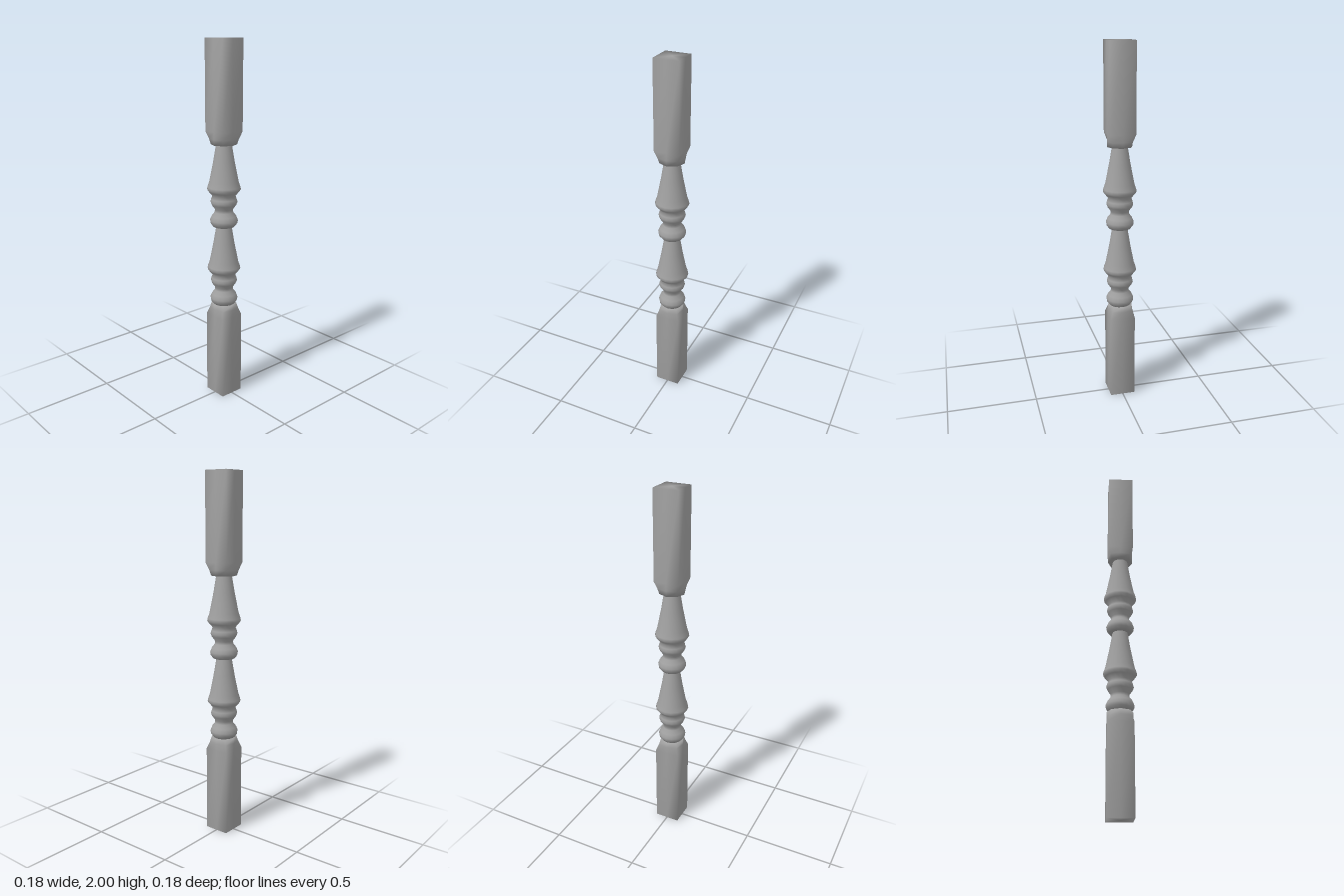
import * as THREE from 'three';

const material = new THREE.MeshStandardMaterial({ color: 0xa0a0a0 });
const HALF = 0.07; // half width of the square blocks

// Square block, softly shaded, with corners cut back towards the turned end (y = 0)
function blockGeometry(height) {
  const N = 8;
  const rings = [[0, 0], [0, 0.07], [0.03, 0.08], [0.07, 0.1], [height, 0.1], [height, 0]];
  const pos = [], index = [];
  for (const [y, limit] of rings) {
    for (let i = 0; i < N; i++) {
      const a = (i / N) * Math.PI * 2;
      const c = Math.cos(a), s = Math.sin(a);
      const r = Math.min(limit, HALF / Math.max(Math.abs(c), Math.abs(s)));
      pos.push(r * c, y, r * s);
    }
  }
  // The first and last rings are single points, so they need one triangle per side
  for (let j = 0; j < rings.length - 1; j++) {
    for (let i = 0; i < N; i++) {
      const a = j * N + i, b = j * N + (i + 1) % N;
      if (j > 0) index.push(a, a + N, b);
      if (j < rings.length - 2) index.push(b, a + N, b + N);
    }
  }
  const g = new THREE.BufferGeometry();
  g.setAttribute('position', new THREE.Float32BufferAttribute(pos, 3));
  g.setIndex(index);
  g.computeVertexNormals();
  return g;
}

// Turned section: foot, two beads, shoulder and long taper
function turningGeometry() {
  const profile = [
    [0, 0], [0.06, 0], [0.074, 0.018], [0.077, 0.036], [0.068, 0.058], [0.051, 0.08],
    [0.05, 0.097], [0.068, 0.122], [0.074, 0.138], [0.07, 0.154], [0.063, 0.172],
    [0.082, 0.194], [0.092, 0.208], [0.09, 0.222], [0.08, 0.25], [0.058, 0.36], [0.042, 0.455],
  ].map(([r, y]) => new THREE.Vector2(r, y));
  return new THREE.LatheGeometry(profile, 16);
}

export function createModel() {
  const group = new THREE.Group();
  const add = (name, geometry, y) => {
    const mesh = new THREE.Mesh(geometry, material);
    mesh.name = name;
    mesh.position.y = y;
    group.add(mesh);
    return mesh;
  };

  // Square blocks at both ends, cut-back ends facing the turnings
  add('bottomBlock', blockGeometry(0.55), 0.55).rotation.x = Math.PI;
  add('topBlock', blockGeometry(0.545), 1.455);

  // Two identical turned sections stacked between the blocks
  const turning = turningGeometry();
  add('lowerTurning', turning, 0.55);
  add('upperTurning', turning, 1.003);

  return group;
}
